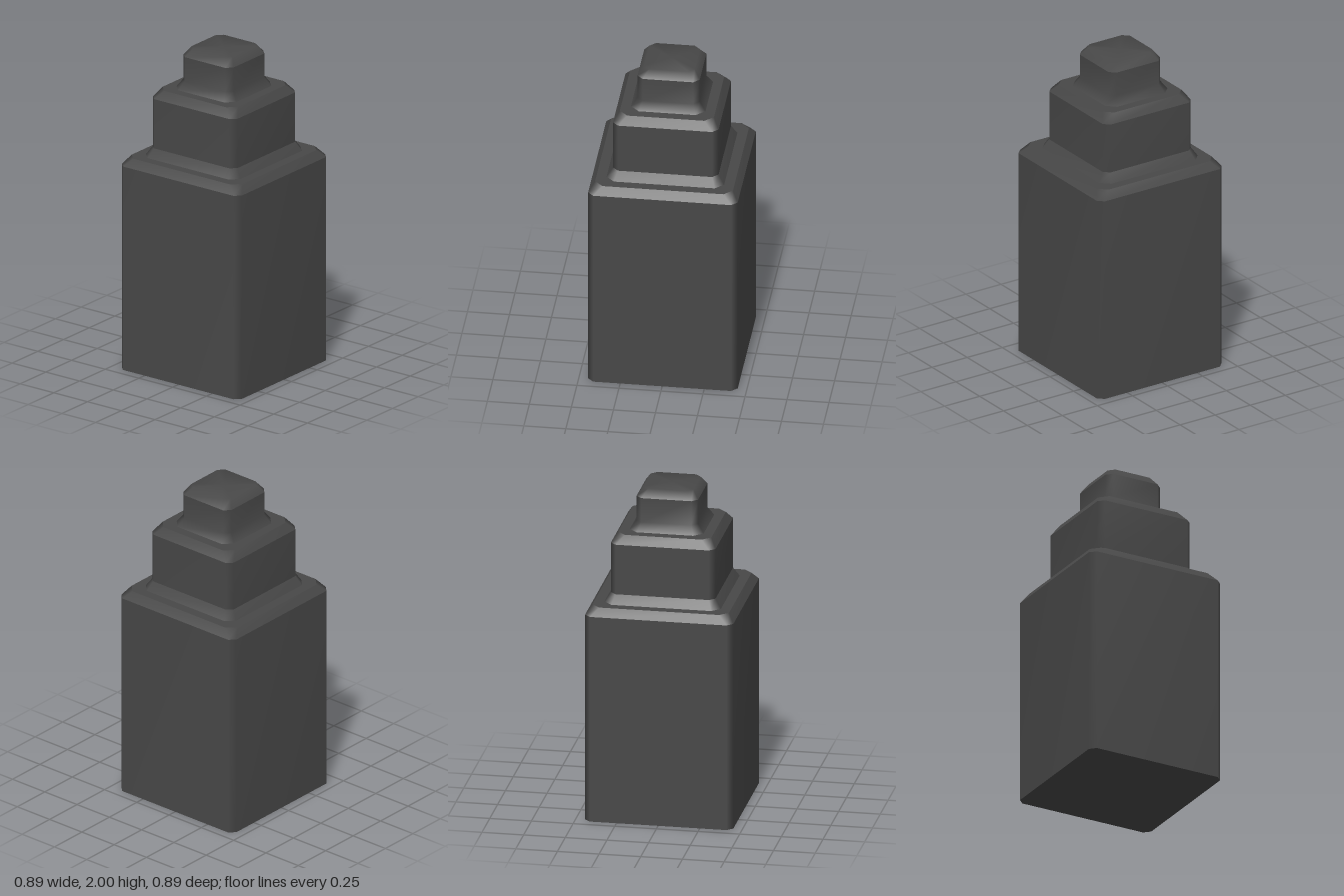
import * as THREE from 'three';

// Square outline with cut corners, counter-clockwise seen from above
function ring([half, flat, y]) {
  return [
    [half, flat], [flat, half], [-flat, half], [-half, flat],
    [-half, -flat], [-flat, -half], [flat, -half], [half, -flat],
  ].map(([x, back]) => [x, y, -back]);
}

// Smooth skin through a stack of outlines, optionally closed at the top or bottom
function skin(rings, cap) {
  const n = 8;
  const points = rings.flatMap(ring);
  const index = [];
  for (let r = 0; r < rings.length - 1; r++) {
    for (let i = 0; i < n; i++) {
      const a = r * n + i, b = r * n + (i + 1) % n;
      index.push(a, b, b + n, a, b + n, a + n);
    }
  }
  if (cap) {
    const last = (rings.length - 1) * n;
    const centre = points.push([0, rings[rings.length - 1][2], 0]) - 1;
    for (let i = 0; i < n; i++) {
      const a = last + i, b = last + (i + 1) % n;
      if (cap === 'top') index.push(centre, a, b);
      else index.push(centre, b, a);
    }
  }
  const geometry = new THREE.BufferGeometry();
  geometry.setAttribute('position', new THREE.Float32BufferAttribute(points.flat(), 3));
  geometry.setIndex(index);
  geometry.computeVertexNormals();
  return geometry;
}

export function createModel() {
  const group = new THREE.Group();
  group.name = 'steppedTower';
  const charcoal = new THREE.MeshStandardMaterial({ color: 0x484848 });
  charcoal.name = 'charcoal';

  const add = (name, rings, cap) => {
    const mesh = new THREE.Mesh(skin(rings, cap), charcoal);
    mesh.name = name;
    group.add(mesh);
  };

  // Outlines: half width, half length of the straight side, height
  const base = [0.445, 0.41, 0];
  const baseTop = [0.445, 0.41, 1.28];
  const baseRim = [0.41, 0.36, 1.33];
  const middleFoot = [0.35, 0.30, 1.33];
  const middleBottom = [0.314, 0.28, 1.385];
  const middleTop = [0.314, 0.28, 1.695];
  const middleRim = [0.28, 0.23, 1.748];
  const topFoot = [0.222, 0.17, 1.748];
  const topBottom = [0.185, 0.15, 1.80];
  const topTop = [0.185, 0.15, 1.95];
  const topRim = [0.15, 0.115, 2];

  // Lower tier
  add('baseUnderside', [base], 'bottom');
  add('baseWall', [base, baseTop]);
  add('baseBevel', [baseTop, baseRim]);
  add('baseLedge', [baseRim, middleFoot]);

  // Middle tier
  add('middleFlare', [middleFoot, middleBottom]);
  add('middleWall', [middleBottom, middleTop]);
  add('middleBevel', [middleTop, middleRim]);
  add('middleLedge', [middleRim, topFoot]);

  // Top tier with softly shaded flare and cap
  add('topWall', [topFoot, topBottom, topTop]);
  add('topCap', [topTop, topRim], 'top');

  return group;
}
